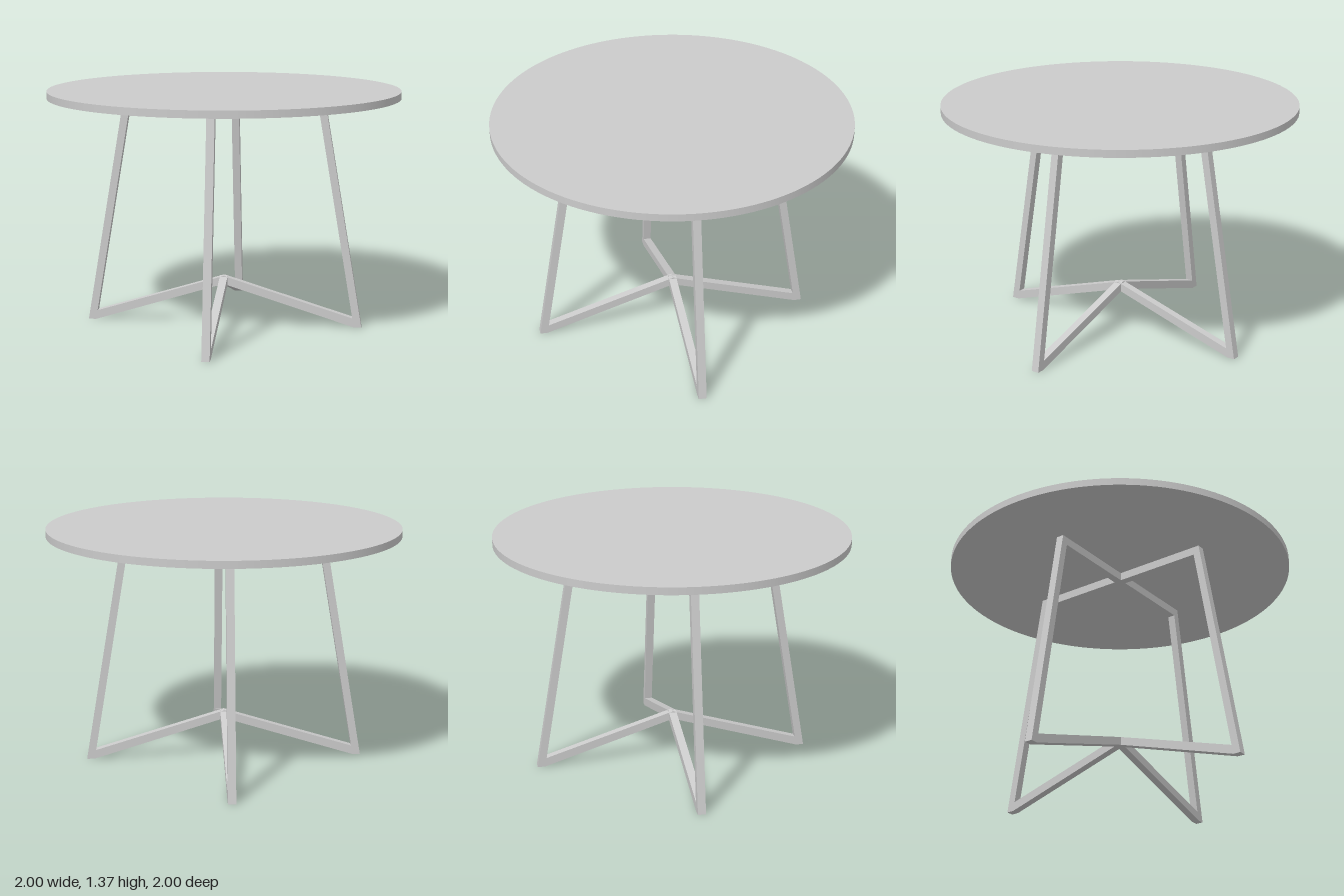
import * as THREE from 'three';

const material = new THREE.MeshStandardMaterial({ color: 0xcccccc });
const BAR = 0.045; // thickness of the frame bars
const TOP_Y = 1.325; // underside of the table top

// Builds a left-right symmetric outline from the points of its +x half.
function mirrored(half) {
  const other = half.filter(([x]) => x > 0).reverse().map(([x, y]) => [-x, y]);
  return [...half, ...other].map(([x, y]) => new THREE.Vector2(x, y));
}

// Closed leg loop: top bar, two splayed legs and a raised chevron foot bar.
function frameGeometry() {
  const shape = new THREE.Shape(mirrored([
    [0, 0.235], [0.756, 0], [0.8, 0], [0.573, TOP_Y],
  ]));
  shape.holes.push(new THREE.Path(mirrored([
    [0, 0.282], [0.747, 0.053], [0.538, 1.277],
  ])));
  const geometry = new THREE.ExtrudeGeometry(shape, { depth: BAR, bevelEnabled: false });
  return geometry.translate(0, 0, -BAR / 2);
}

export function createModel() {
  const table = new THREE.Group();
  table.name = 'roundTable';

  // Round top
  const top = new THREE.Mesh(new THREE.CylinderGeometry(1, 1, 0.041, 128), material);
  top.name = 'tableTop';
  top.position.y = TOP_Y + 0.0205;
  table.add(top);

  // Two frames crossing on the diagonals
  const geometry = frameGeometry();
  for (const side of [1, -1]) {
    const frame = new THREE.Mesh(geometry, material);
    frame.name = side > 0 ? 'legFrameA' : 'legFrameB';
    frame.rotation.y = side * Math.PI / 4;
    table.add(frame);
  }
  return table;
}
